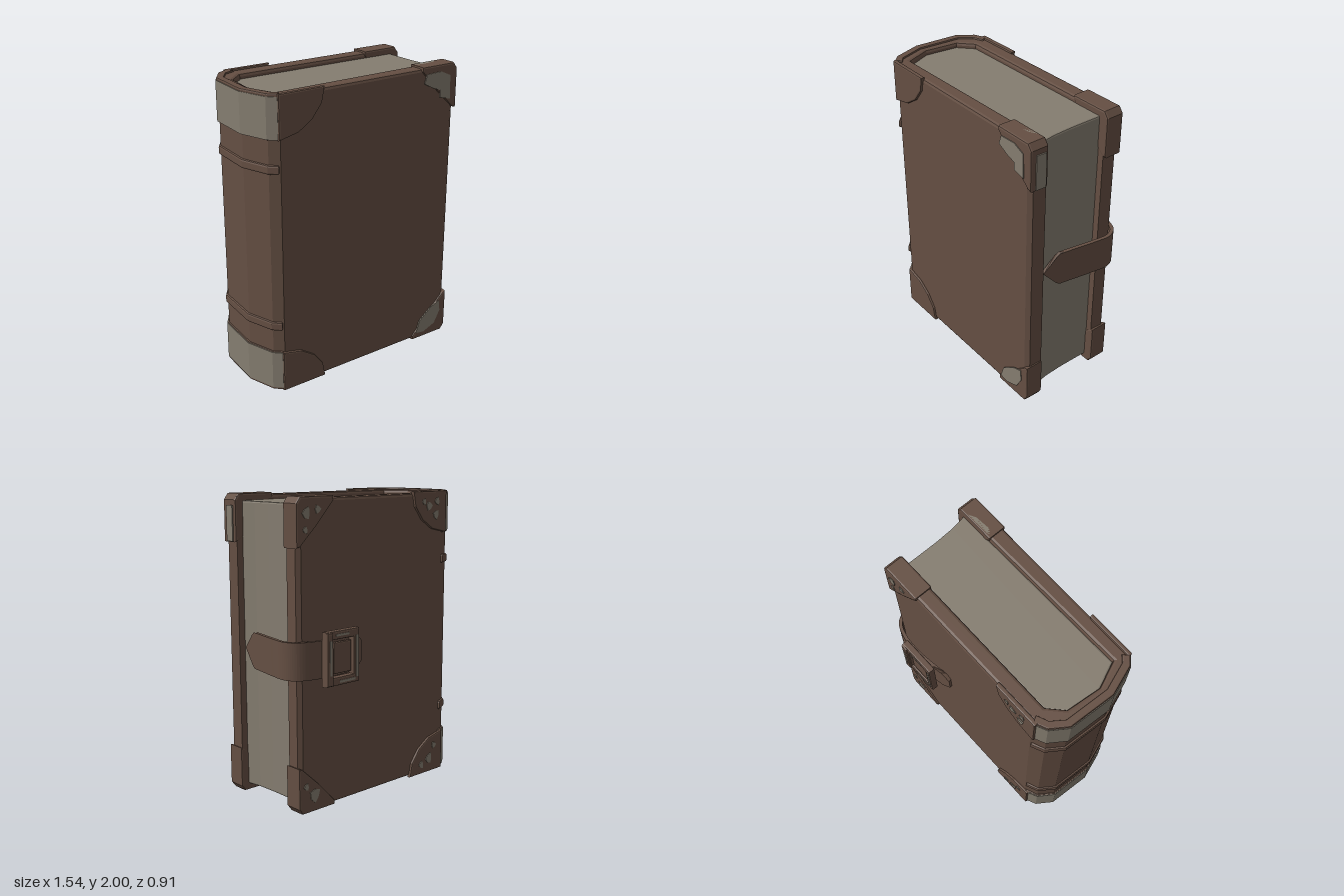
import * as THREE from 'three';

const leather = new THREE.MeshStandardMaterial({ color: 0x654f43 });
leather.name = 'brown leather';
const paper = new THREE.MeshStandardMaterial({ color: 0x857d70 });
paper.name = 'worn grey paper';

const v2 = (pts) => pts.map(([x, y]) => new THREE.Vector2(x, y));

function add(parent, name, geometry, material) {
  const mesh = new THREE.Mesh(geometry, material);
  mesh.name = name;
  parent.add(mesh);
  return mesh;
}

// Extrudes an outline drawn in x,z from height y0 to y1
function upright(outline, y0, y1, bevel = 0) {
  const shape = new THREE.Shape(v2(outline.map(([x, z]) => [x, -z])));
  const g = new THREE.ExtrudeGeometry(shape, {
    depth: y1 - y0 - 2 * bevel, bevelEnabled: bevel > 0, bevelSize: bevel,
    bevelThickness: bevel, bevelOffset: -bevel, bevelSegments: 2,
  });
  return g.translate(0, 0, bevel).rotateX(-Math.PI / 2).translate(0, y0, 0);
}

// Offsets an x,z path sideways, then closes it into a band outline
function bandOutline(path, inner, outer) {
  const offset = (d) => path.map(([x, z], i) => {
    const a = path[Math.max(i - 1, 0)], b = path[Math.min(i + 1, path.length - 1)];
    const tx = b[0] - a[0], tz = b[1] - a[1], l = Math.hypot(tx, tz);
    return [x + (tz / l) * d, z - (tx / l) * d];
  });
  return [...offset(outer), ...offset(inner).reverse()];
}

// Flat plate in x,y, centred on z = 0
function plate(outline, thickness, bevel = 0, hole = null) {
  const shape = new THREE.Shape(v2(outline));
  if (hole) shape.holes.push(new THREE.Path(v2(hole)));
  return new THREE.ExtrudeGeometry(shape, {
    depth: thickness - 2 * bevel, bevelEnabled: bevel > 0, bevelSize: bevel,
    bevelThickness: bevel, bevelOffset: -bevel, bevelSegments: 2,
  }).translate(0, 0, -thickness / 2 + bevel);
}

const rect = (x0, x1, y0, y1) => [[x0, y0], [x1, y0], [x1, y1], [x0, y1]];
const flip = (pts) => pts.map(([x, y]) => [x, 2 - y]);

// Irregular worn spot
function spot(x, y, r, turn) {
  return [1, 0.75, 1.1, 0.7, 0.95, 0.8].map((k, i) => {
    const a = turn + (i * Math.PI) / 3;
    return [x + Math.cos(a) * r * k, y + Math.sin(a) * r * k * 1.2];
  });
}

export function createModel() {
  const book = new THREE.Group();
  book.name = 'book';

  // One wrapped cover: front board, rounded spine and back board
  add(book, 'cover', upright([
    [0.745, 0.205], [0.75, 0.3], [0.72, 0.322], [-0.3, 0.39], [-0.62, 0.408], [-0.68, 0.365],
    [-0.755, 0.18], [-0.755, -0.13], [-0.69, -0.235], [-0.6, -0.28], [0, -0.325], [0.66, -0.373],
    [0.69, -0.355], [0.69, -0.265], [-0.58, -0.175], [-0.67, -0.08], [-0.68, 0.15], [-0.6, 0.315],
  ], 0.008, 1.988, 0.02), leather);

  // Page block with a hollow fore edge
  add(book, 'pages', upright([
    [-0.6, 0.318], [-0.685, 0.15], [-0.675, -0.08], [-0.58, -0.18], [0.645, -0.268],
    [0.652, -0.15], [0.66, -0.03], [0.675, 0.1], [0.7, 0.212],
  ], 0.045, 1.955, 0.012), paper);

  // Spine end caps, their worn faces and the raised ribs
  const spine = [[-0.61, -0.278], [-0.69, -0.235], [-0.755, -0.13], [-0.755, 0.18], [-0.68, 0.365], [-0.63, 0.406]];
  spine.reverse();
  const side = 1;
  for (const top of [false, true]) {
    const range = (a, b) => (top ? [2 - b, 2 - a] : [a, b]);
    add(book, 'spineCap', upright(bandOutline(spine, -0.04 * side, 0.01 * side), ...range(0, 0.285), 0.008), leather);
    add(book, 'spineCapWear', upright(bandOutline(spine, 0.008 * side, 0.015 * side), ...range(0.018, 0.28)), paper);
    add(book, 'spineRib', upright(bandOutline(spine, -0.02 * side, 0.014 * side), ...range(0.44, 0.5), 0.012), leather);
  }

  // Local frames lying on the outer faces of the two boards
  const front = new THREE.Group();
  front.name = 'frontBoardDetails';
  front.position.z = 0.371;
  front.rotation.y = 0.066;
  const back = new THREE.Group();
  back.name = 'backBoardDetails';
  back.position.z = -0.325;
  back.rotation.y = 0.073;
  book.add(front, back);

  // Leather corners at the spine and at the fore edge
  const spineCorner = [[-0.64, 2], [-0.31, 2], [-0.33, 1.9], [-0.4, 1.81], [-0.5, 1.745], [-0.64, 1.715]];
  const foreCorner = (x) => [[x - 0.03, 2], [x, 1.96], [x, 1.69], [x - 0.03, 1.7], [x - 0.17, 1.83], [x - 0.3, 1.97], [x - 0.3, 2]];
  for (const m of [(p) => p, flip]) {
    add(front, 'frontSpineCorner', plate(m(spineCorner), 0.03, 0.01), leather);
    add(back, 'backSpineCorner', plate(m(spineCorner), 0.034, 0.01), leather);
    add(front, 'frontForeCorner', plate(m(foreCorner(0.765)), 0.13, 0.012), leather).position.z = -0.055;
    add(back, 'backForeCorner', plate(m(foreCorner(0.705)), 0.13, 0.012), leather).position.z = 0.05;
  }

  // Worn patches on the front corners
  const patches = [
    [[0.48, 1.89], [0.5, 1.95], [0.62, 1.955], [0.7, 1.92], [0.705, 1.76], [0.62, 1.78], [0.62, 1.83], [0.56, 1.85]],
    [[0.49, 0.05], [0.52, 0.14], [0.62, 0.22], [0.7, 0.25], [0.71, 0.17], [0.66, 0.08], [0.56, 0.04]],
  ];
  for (const p of patches) add(front, 'frontCornerWear', plate(p, 0.008), paper).position.z = 0.011;

  // Worn spots on the back corners
  const spots = [
    [0.63, 1.9, 0.035, 0], [0.54, 1.92, 0.025, 1], [0.64, 1.8, 0.02, 2], [0.58, 0.11, 0.045, 0.5], [0.65, 0.18, 0.022, 2],
    [-0.46, 1.9, 0.03, 1], [-0.53, 1.84, 0.03, 0.3], [-0.41, 1.93, 0.02, 2], [-0.54, 1.93, 0.025, 2],
    [-0.5, 0.1, 0.035, 0], [-0.55, 0.19, 0.022, 1], [-0.42, 0.07, 0.025, 2],
  ];
  for (const s of spots) add(back, 'backCornerWear', plate(spot(...s), 0.008), paper).position.z = s[0] > 0 ? -0.016 : -0.018;

  // Wear on the edge of the front board
  add(book, 'foreEdgeWear', new THREE.BoxGeometry(0.008, 0.23, 0.07).translate(0.764, 1.81, 0.257), paper);
  add(book, 'topEdgeWear', upright([[0.46, 0.25], [0.5, 0.235], [0.67, 0.22], [0.62, 0.25], [0.52, 0.265]], 1.996, 2), paper);

  // Strap running from the back board around the fore edge to a pointed tip
  const curve = new THREE.CatmullRomCurve3([
    [0.17, -0.345], [0.3, -0.378], [0.45, -0.405], [0.6, -0.408], [0.7, -0.375],
    [0.742, -0.31], [0.74, -0.2], [0.72, 0], [0.702, 0.175],
  ].map(([x, z]) => new THREE.Vector3(x, 0, z)));
  const path = curve.getPoints(48).map((p) => [p.x, p.z]);
  const strap = upright(bandOutline(path, -0.012, 0.012), 0.88, 1.12);
  const pos = strap.attributes.position;
  for (let i = 0; i < pos.count; i++) {
    const tip = THREE.MathUtils.clamp((0.18 - pos.getZ(i)) / 0.11, 0.04, 1);
    const tail = THREE.MathUtils.clamp((pos.getX(i) - 0.1) / 0.13, 0.3, 1);
    pos.setY(i, 1 + (pos.getY(i) - 1) * Math.min(tip, tail));
  }
  strap.computeVertexNormals();
  add(book, 'strap', strap, leather);

  // Buckle frame, prong bar and worn streaks
  const buckle = new THREE.Group();
  buckle.name = 'buckle';
  buckle.position.z = -0.077;
  back.add(buckle);
  add(buckle, 'buckleFrame', plate(rect(0.27, 0.55, 0.825, 1.175), 0.05, 0.01, rect(0.32, 0.49, 0.88, 1.12)), leather);
  add(buckle, 'buckleKeeper', plate(rect(0.5, 0.55, 0.83, 1.17), 0.06, 0.012), leather).position.z = -0.008;
  add(buckle, 'bucklePad', plate(rect(0.33, 0.48, 0.9, 1.1), 0.03, 0.008), leather);
  for (const r of [rect(0.283, 0.3, 0.86, 1.13), rect(0.31, 0.44, 0.842, 0.858), rect(0.36, 0.47, 1.142, 1.155)])
    add(buckle, 'buckleWear', plate(r, 0.006), paper).position.z = -0.025;
  add(buckle, 'buckleKeeperWear', plate(rect(0.515, 0.532, 0.9, 1.12), 0.006), paper).position.z = -0.038;

  return book;
}
